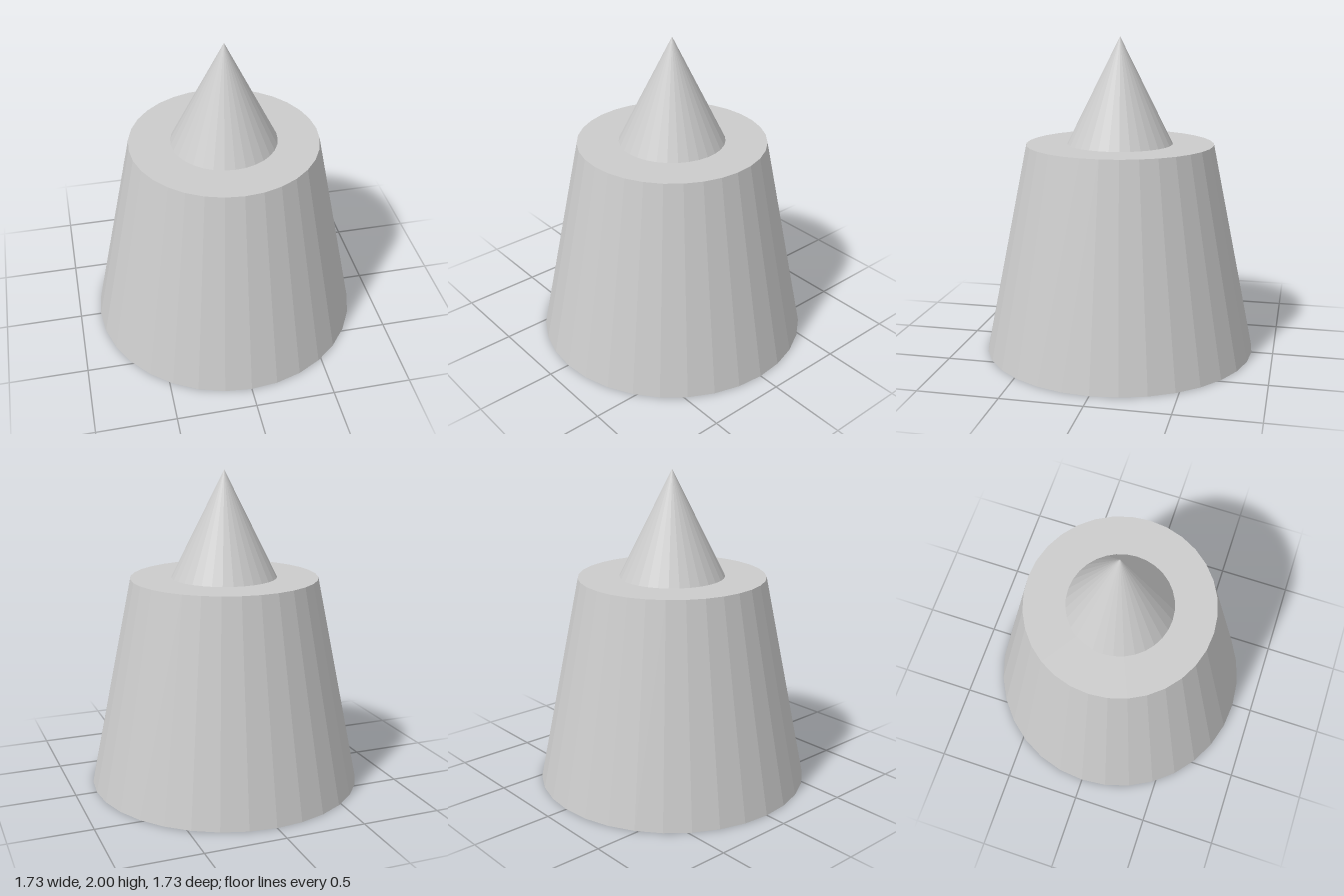
import * as THREE from 'three';

const SIDES = 32;
const BASE_HEIGHT = 1.333;

export function createModel() {
  const model = new THREE.Group();
  model.name = 'spikedPedestal';
  const material = new THREE.MeshStandardMaterial({ color: 0xcccccc, flatShading: true });

  const addPart = (name, geometry, bottom, height) => {
    const mesh = new THREE.Mesh(geometry, material);
    mesh.name = name;
    mesh.position.y = bottom + height / 2;
    model.add(mesh);
  };

  // Tapered body with closed top and bottom
  addPart('taperedBase', new THREE.CylinderGeometry(0.593, 0.865, BASE_HEIGHT, SIDES), 0, BASE_HEIGHT);

  // Pointed cone standing on the flat top; its hidden underside is left open
  const coneHeight = 2 - BASE_HEIGHT;
  addPart('coneTip', new THREE.ConeGeometry(0.333, coneHeight, SIDES, 1, true), BASE_HEIGHT, coneHeight);

  return model;
}
